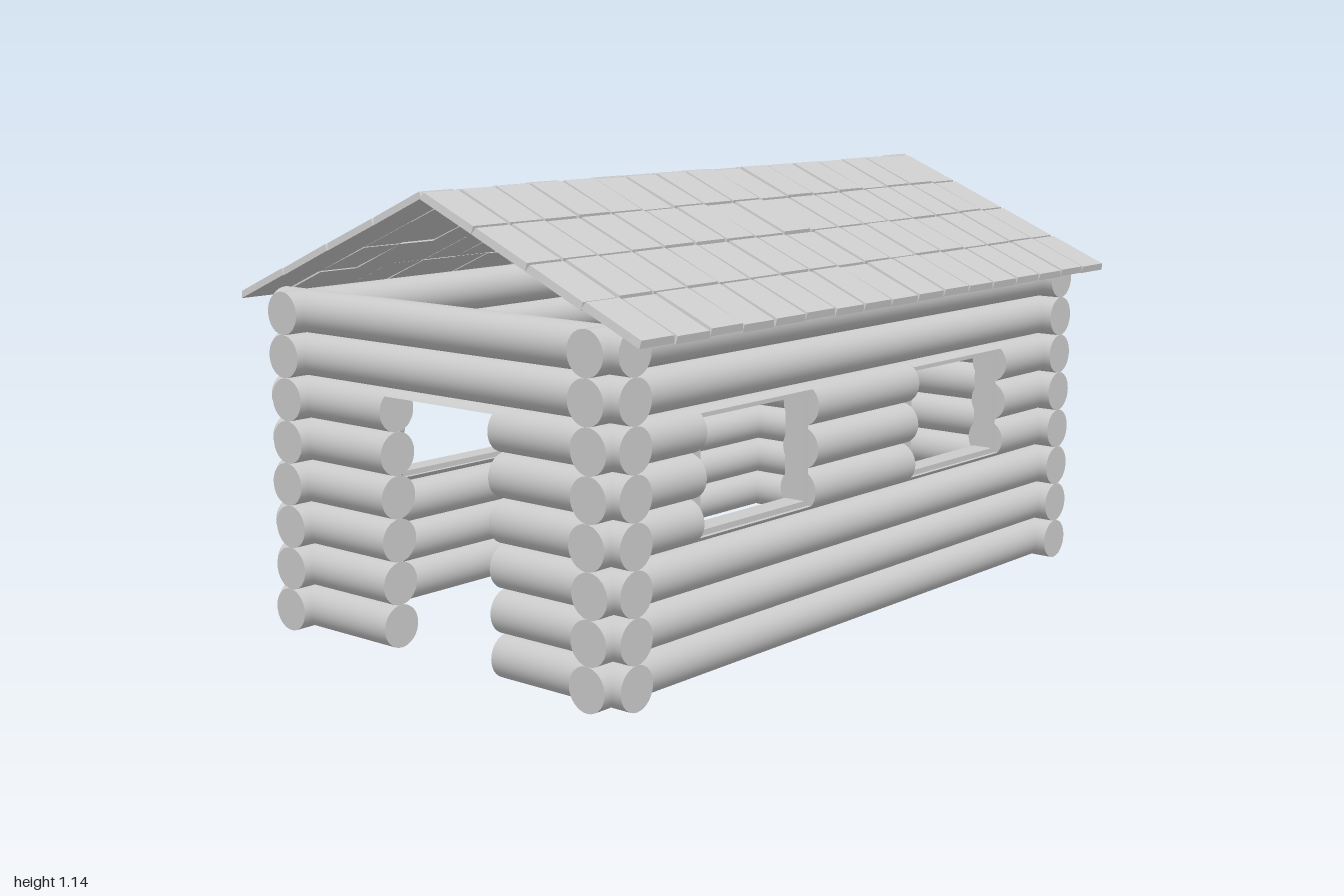
import * as THREE from 'three';

const R = 0.0545, PITCH = 0.1087, ROWS = 8;
const mat = new THREE.MeshStandardMaterial({ color: 0xcccccc });
const rowY = (i) => R + i * PITCH;

// small sideways shift of each row of logs
const shift = [-0.002, 0.004, 0.008, 0, 0.007, 0.008, 0.001, 0.001];

function add(parent, geometry, name, x = 0, y = 0, z = 0) {
  const mesh = new THREE.Mesh(geometry, mat);
  mesh.name = name;
  mesh.position.set(x, y, z);
  parent.add(mesh);
  return mesh;
}

// round log lying along z from a to b
function log(parent, y, a, b, name) {
  const g = new THREE.CylinderGeometry(R, R, b - a, 32).rotateX(Math.PI / 2);
  return add(parent, g, name, 0, y, (a + b) / 2);
}

// what remains of a log above (or below) an opening: a circular segment
function sliver(parent, y, cutY, above, a, b, name) {
  const t = Math.asin((cutY - y) / R);
  const shape = new THREE.Shape();
  if (above) shape.absarc(0, 0, R, t, Math.PI - t, false);
  else shape.absarc(0, 0, R, Math.PI - t, 2 * Math.PI + t, false);
  const g = new THREE.ExtrudeGeometry(shape, { depth: b - a, bevelEnabled: false, curveSegments: 12 });
  return add(parent, g, name, 0, y, a);
}

// wall of logs along z, with openings { a, b, bottom, top }
function wall(name, half, openings) {
  const group = new THREE.Group();
  group.name = name;
  for (let i = 0; i < ROWS; i++) {
    const y = rowY(i);
    const row = new THREE.Group();
    row.name = 'logRow';
    group.add(row);
    let start = -half;
    for (const o of openings) {
      if (y + R <= o.bottom + 0.002 || y - R >= o.top - 0.002) continue;
      log(row, y, start, o.a, 'log');
      if (y + R > o.top) sliver(row, y, o.top, true, o.a, o.b, 'lintelStrip');
      if (y - R < o.bottom - 0.005) sliver(row, y, o.bottom, false, o.a, o.b, 'sillStrip');
      start = o.b;
    }
    log(row, y, start, half, 'log');
  }
  return group;
}

// rectangular frame in the zy plane, as deep as depth in x
function windowFrame(o) {
  const w = o.b - o.a, h = o.top - o.bottom, t = 0.014, depth = 0.06;
  const rect = (Type, x, y) => new Type()
    .moveTo(-x, -y).lineTo(x, -y).lineTo(x, y).lineTo(-x, y).closePath();
  const shape = rect(THREE.Shape, w / 2, h / 2);
  shape.holes.push(rect(THREE.Path, w / 2 - t, h / 2 - t));
  const g = new THREE.ExtrudeGeometry(shape, { depth, bevelEnabled: false });
  g.translate(0, 0, -depth / 2).rotateY(Math.PI / 2);
  const mesh = new THREE.Mesh(g, mat);
  mesh.name = 'windowFrame';
  mesh.position.set(0, (o.top + o.bottom) / 2, (o.a + o.b) / 2);
  return mesh;
}

// flat tile whose upper face is slightly smaller than its lower one
function tileGeometry(length, thick, width) {
  const g = new THREE.BoxGeometry(length, thick, width);
  const p = g.attributes.position;
  for (let i = 0; i < p.count; i++) {
    if (p.getY(i) < 0) continue;
    p.setX(i, p.getX(i) - Math.sign(p.getX(i)) * 0.004);
    p.setZ(i, p.getZ(i) - Math.sign(p.getZ(i)) * 0.004);
  }
  g.computeVertexNormals();
  return g;
}

function roof() {
  const group = new THREE.Group();
  group.name = 'roof';
  let seed = 7;
  const rand = () => (seed = (seed * 16807) % 2147483647) / 2147483647 - 0.5;
  const columns = 17, steps = 4, ridgeY = 1.135, run = 0.676, drop = 0.288;
  const slope = Math.atan2(drop, run);
  const zPitch = 1.99 / columns, sPitch = Math.hypot(run, drop) / steps;
  const tile = tileGeometry(sPitch - 0.001, 0.018, zPitch - 0.001);
  for (const side of [1, -1]) {
    const half = new THREE.Group();
    half.name = side > 0 ? 'leftRoofSlope' : 'rightRoofSlope';
    group.add(half);
    for (let c = 0; c < columns; c++) {
      for (let s = 0; s < steps; s++) {
        const k = (s + 0.5) / steps;
        const m = add(half, tile, 'roofTile', side * run * k,
          ridgeY - drop * k + rand() * 0.004, -0.998 + (c + 0.5) * zPitch + rand() * 0.003);
        m.rotation.z = -side * (slope + rand() * 0.02);
      }
    }
  }
  return group;
}

export function createModel() {
  const model = new THREE.Group();
  model.name = 'logCabin';

  // long side walls with two windows each
  const windows = [
    { a: -0.65, b: -0.22, bottom: 0.345, top: 0.64 },
    { a: 0.22, b: 0.65, bottom: 0.345, top: 0.64 },
  ];
  for (const side of [1, -1]) {
    const w = wall(side > 0 ? 'leftWall' : 'rightWall', 0.994, windows);
    w.children.forEach((row, i) => { row.position.x = shift[i]; });
    windows.forEach((o) => w.add(windowFrame(o)));
    w.position.x = side * 0.5135;
    model.add(w);
  }

  // short walls: front with a doorway, back closed
  const door = { a: -0.185, b: 0.185, bottom: 0, top: 0.637 };
  for (const [name, openings, z] of [['frontWall', [door], 0.915], ['backWall', [], -0.912]]) {
    const w = wall(name, 0.593, openings);
    w.rotation.y = Math.PI / 2;
    w.position.set(-0.001, 0, z);
    model.add(w);
  }

  model.add(roof());
  return model;
}
